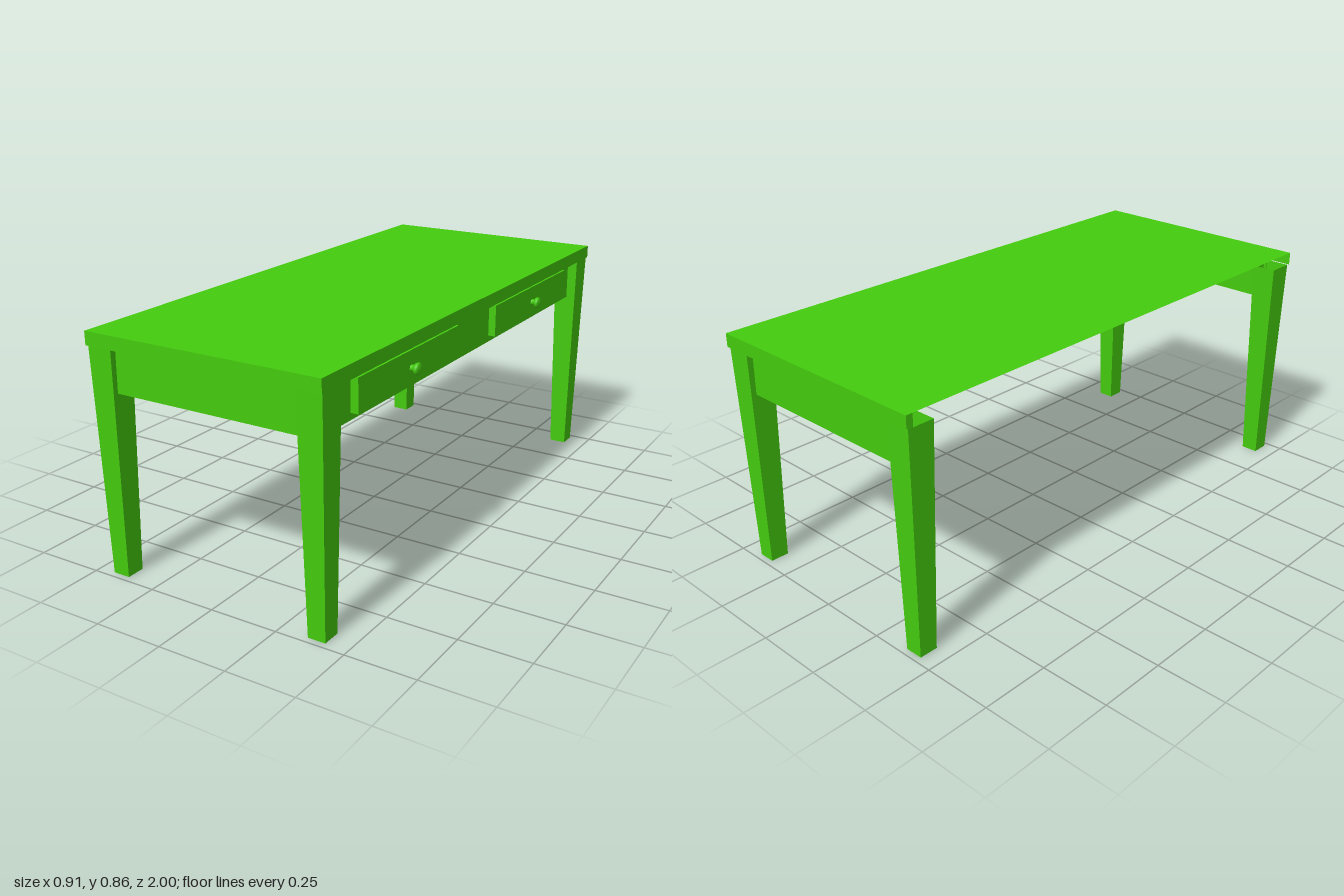
import * as THREE from 'three';

export function createModel() {
  const table = new THREE.Group();
  table.name = 'writingTable';
  const green = new THREE.MeshStandardMaterial({
    color: 0x44cc0e, flatShading: true, side: THREE.DoubleSide,
  });
  const smoothGreen = new THREE.MeshStandardMaterial({ color: 0x44cc0e, side: THREE.DoubleSide });

  function add(name, geometry, x, y, z, material = green) {
    const mesh = new THREE.Mesh(geometry, material);
    mesh.name = name;
    mesh.position.set(x, y, z);
    table.add(mesh);
    return mesh;
  }
  // Thin upright panels facing along x or z
  const sidePanel = (w, h) => new THREE.PlaneGeometry(w, h).rotateY(Math.PI / 2);
  const endPanel = (w, h, dir) => new THREE.PlaneGeometry(w, h).rotateY(dir > 0 ? 0 : Math.PI);

  // Table top: a sheet with a rim on three sides, open along the back edge
  const left = -0.455, right = 0.437, topY = 0.856, rimY = 0.808;
  const midX = (left + right) / 2, width = right - left;
  const rimH = topY - rimY, rimMid = (topY + rimY) / 2;
  add('tableTop', new THREE.PlaneGeometry(width, 2).rotateX(-Math.PI / 2), midX, topY, 0);
  add('drawerSideRim', sidePanel(2, rimH), right, rimMid, 0);

  // Tapered, hollow square legs
  const legGeometry = new THREE.CylinderGeometry(0.0465 * Math.SQRT2, 0.032 * Math.SQRT2, rimY, 4, 1, true)
    .rotateY(Math.PI / 4).scale(1, 1, 1.05);
  const apronBottom = 0.655, apronH = rimY - apronBottom, apronY = (rimY + apronBottom) / 2;
  const apronX = 0.395;

  // Drawer knob: stem and rounded head, turned around x
  const knobGeometry = new THREE.LatheGeometry([
    [0.011, 0], [0.011, 0.013], [0.018, 0.016], [0.021, 0.022],
    [0.021, 0.027], [0.017, 0.032], [0, 0.034],
  ].map(([r, h]) => new THREE.Vector2(r, h)), 20).rotateZ(-Math.PI / 2);

  for (const s of [1, -1]) {
    add('endRim', endPanel(width, rimH, s), midX, rimMid, s);
    add('endApron', endPanel(0.72, apronH, s), midX, apronY, s * 0.97);
    for (const x of [-0.405, 0.387]) add('leg', legGeometry, x, rimY / 2, s * 0.943);

    // Drawer front standing proud of the apron, with its knob
    add('drawerFront', new THREE.BoxGeometry(0.027, 0.115, 0.64), apronX + 0.0135, 0.736, s * 0.467);
    add('drawerKnob', knobGeometry, 0.421, 0.734, s * 0.47, smoothGreen);
  }

  // Long apron behind the drawers
  add('drawerApron', sidePanel(1.8, apronH), apronX, apronY, 0);
  return table;
}
